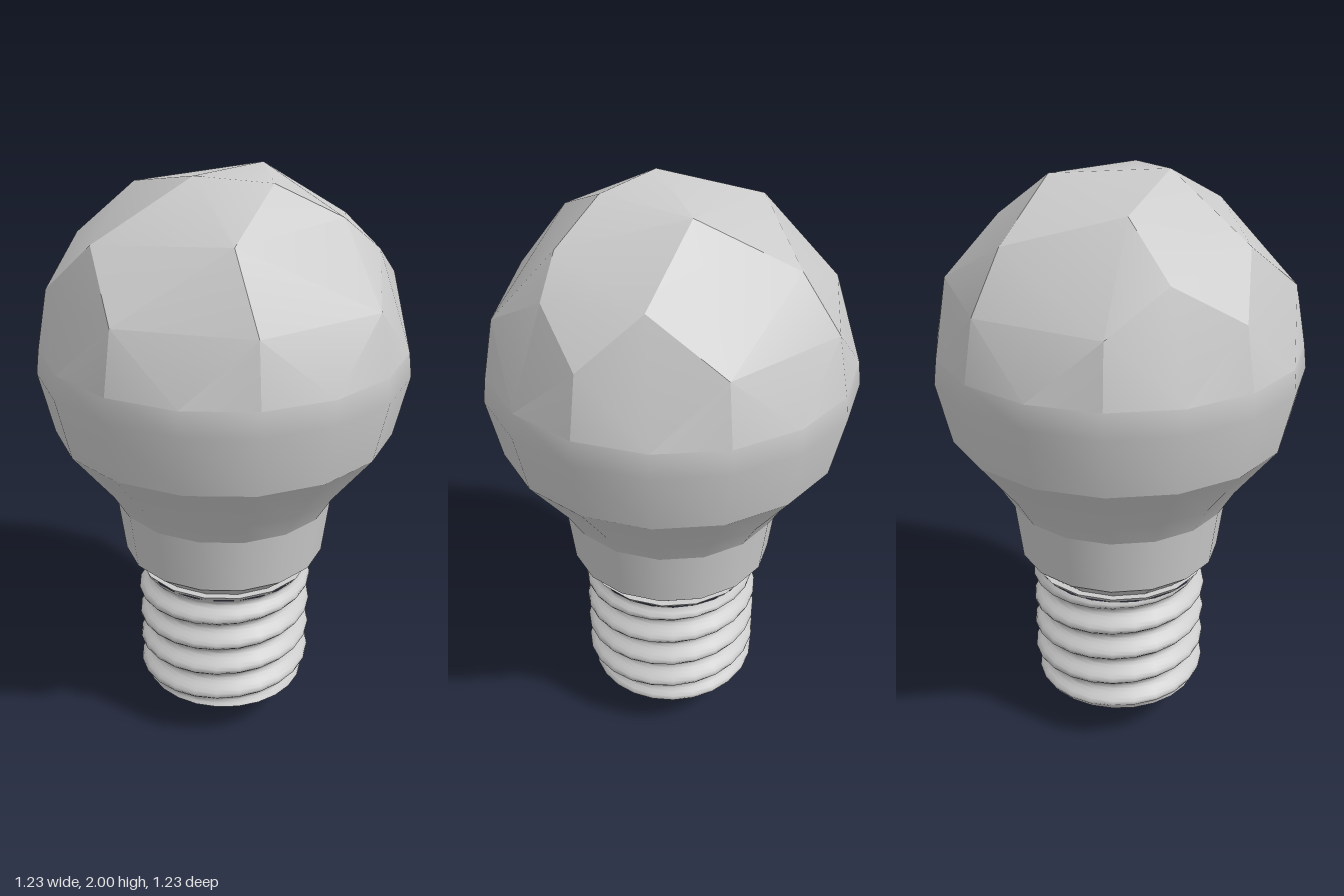
import * as THREE from 'three';
import { ConvexGeometry } from 'three/addons/geometries/ConvexGeometry.js';
import { mergeVertices, toCreasedNormals } from 'three/addons/utils/BufferGeometryUtils.js';

const SIDES = 16;

export function createModel() {
  const model = new THREE.Group();
  const material = new THREE.MeshStandardMaterial({ color: 0xcccccc });

  const add = (name, geometry) => {
    const mesh = new THREE.Mesh(geometry, material);
    mesh.name = name;
    model.add(mesh);
  };
  // Profiles run from bottom to top as [radius, height]
  const lathe = (profile, sides = SIDES) =>
    new THREE.LatheGeometry(profile.map(([r, y]) => new THREE.Vector2(r, y)), sides);

  // Faceted dome: a regular lower rim and a few uneven points on a sphere
  const points = [];
  const ring = (radius, y, count) => {
    for (let i = 0; i < count; i++) {
      const a = (i / count) * Math.PI * 2;
      points.push(new THREE.Vector3(Math.cos(a) * radius, y, Math.sin(a) * radius));
    }
  };
  ring(0.607, 1.44, SIDES);
  ring(0.57, 1.64, 8);
  const crown = [
    [0, 0.16], [0, -0.22], [0.21, 0.04], [-0.32, 0.05], [0.38, -0.09], [-0.2, 0.41],
    [0.2, -0.42], [-0.3, -0.33], [0.26, 0.32], [0.45, -0.2], [-0.46, 0.18],
  ];
  for (const [x, z] of crown) {
    const height = 1.035 * Math.sqrt(0.62 ** 2 - x * x - z * z);
    points.push(new THREE.Vector3(x, 1.38 + height, z));
  }
  add('glassDome', toCreasedNormals(new ConvexGeometry(points), 0.38));

  // Widest band of the glass and the cone below it
  add('glassBelly', lathe([[0.57, 1.15], [0.617, 1.36], [0.607, 1.44]]));
  add('glassCone', lathe([[0.37, 0.87], [0.43, 0.97], [0.57, 1.15]]));

  // Collar between glass and screw base
  add('collar', lathe([[0.35, 0.68], [0.375, 0.88]]));
  add('collarUnderside', lathe([[0.28, 0.62], [0.35, 0.68]]));

  // Screw base: a sleeve pushed in and out along a helix
  const bottom = 0.15, top = 0.6, rows = 44, pitch = 0.105;
  const sleeve = [];
  for (let i = 0; i <= rows; i++) sleeve.push([0.29, bottom + ((top - bottom) * i) / rows]);
  let thread = lathe(sleeve, 24);
  thread.deleteAttribute('uv');
  thread.deleteAttribute('normal');
  thread = mergeVertices(thread, 1e-4);
  const pos = thread.attributes.position;
  for (let i = 0; i < pos.count; i++) {
    const x = pos.getX(i), y = pos.getY(i), z = pos.getZ(i);
    const turn = Math.atan2(-z, x);
    const wave = Math.cos(((y - 0.44) / pitch) * Math.PI * 2 - turn);
    const fade = Math.min(1, (y - bottom) / 0.03, (top - y) / 0.03);
    const scale = (0.288 + 0.022 * wave * fade) / 0.29;
    pos.setXYZ(i, x * scale, y, z * scale);
  }
  thread.computeVertexNormals();
  add('screwThread', thread);
  add('screwRim', lathe([[0.288, 0.6], [0.305, 0.62]]));
  add('screwRimTop', lathe([[0.305, 0.62], [0.27, 0.621]]));

  // Rounded insulator and the contact at the foot
  add('insulator', lathe([[0.13, 0.04], [0.2, 0.085], [0.26, 0.13], [0.288, 0.15]]));
  add('contact', lathe([[0, 0], [0.07, 0.005], [0.13, 0.04]]));

  return model;
}
